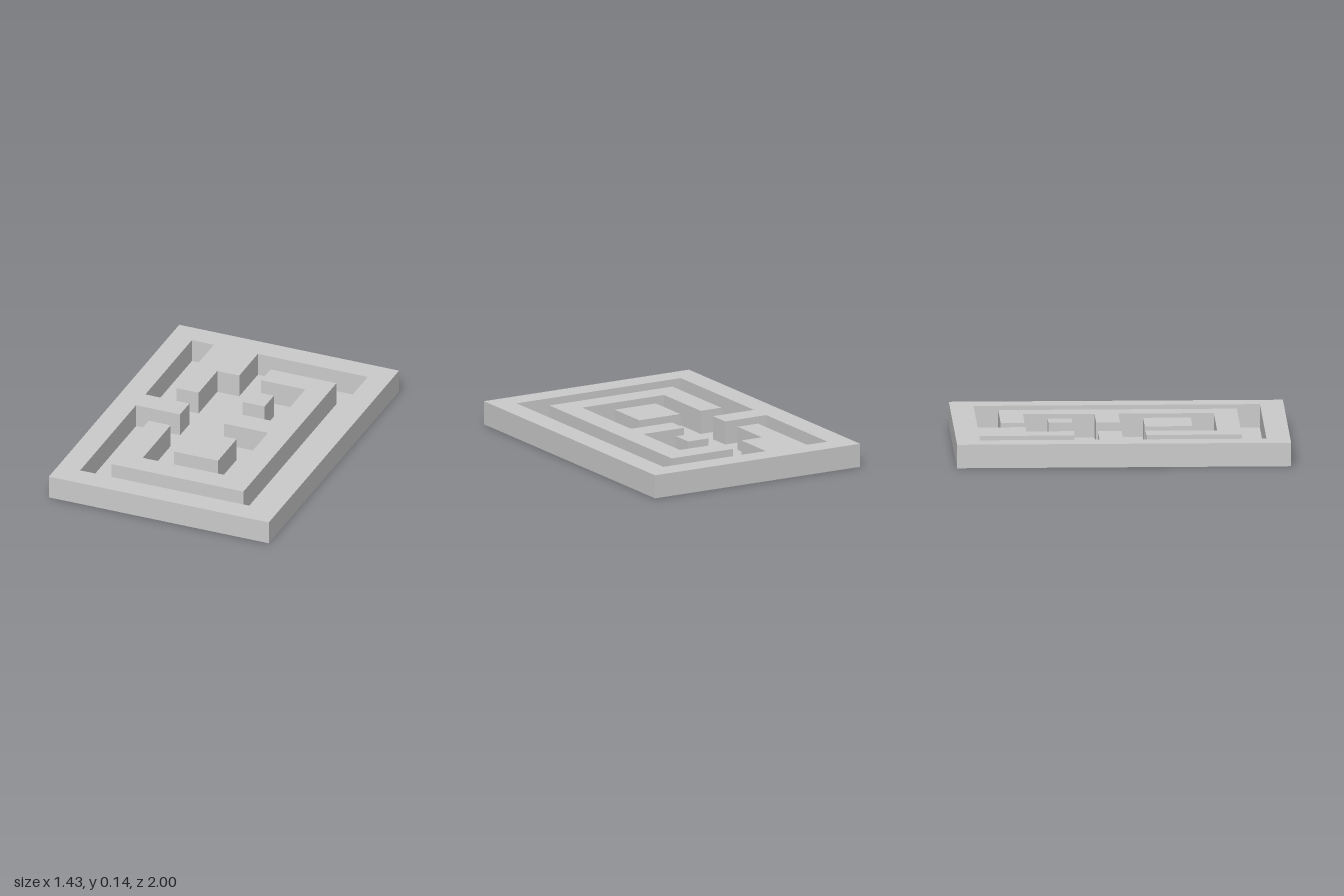
import * as THREE from 'three';
import { mergeGeometries } from 'three/addons/utils/BufferGeometryUtils.js';

const CELL = 1 / 7; // grid cell, also the wall height

// Outlines in grid cells as [x, z]
const rect = (x0, z0, x1, z1) => [[x0, z0], [x1, z0], [x1, z1], [x0, z1]];
const OUTER = rect(-5, -7, 5, 7);
const CORRIDOR = [
  [-4, -6], [-3, -6], [-3, -2], [-2, -2], [-2, -4], [-1, -4], [-1, -6], [4, -6],
  [4, 6], [-4, 6], [-4, 0], [-2, 0], [-2, -1], [-4, -1],
];
const ISLANDS = {
  innerWall: [
    [0, -5], [3, -5], [3, 5], [-3, 5], [-3, 1], [-2, 1], [-2, 4], [2, 4],
    [2, 0], [0, 0], [0, -1], [2, -1], [2, -4], [0, -4],
  ],
  smallBlock: rect(0, -3, 1, -2),
  largeBlock: rect(-1, 1, 1, 3),
};

// Plan points with y = -z, wound anticlockwise
function toPlan(outline) {
  const pts = outline.map(([x, z]) => new THREE.Vector2(x * CELL, -z * CELL));
  return THREE.ShapeUtils.isClockWise(pts) ? pts.reverse() : pts;
}

// Flat horizontal sheet with holes, facing up
function sheet(outline, holes, y) {
  const shape = new THREE.Shape(toPlan(outline));
  shape.holes = holes.map((h) => new THREE.Path(toPlan(h).reverse()));
  return new THREE.ShapeGeometry(shape).rotateX(-Math.PI / 2).translate(0, y, 0);
}

// Upright faces along a closed outline; inward ones line a pit
function sides(outline, inward = false) {
  const pts = toPlan(outline);
  if (inward) pts.reverse();
  return pts.map((a, i) => {
    const b = pts[(i + 1) % pts.length];
    return new THREE.PlaneGeometry(a.distanceTo(b), CELL)
      .rotateY(Math.atan2(b.y - a.y, b.x - a.x))
      .translate((a.x + b.x) / 2, CELL / 2, -(a.y + b.y) / 2);
  });
}

export function createModel() {
  const group = new THREE.Group();
  const material = new THREE.MeshStandardMaterial({
    color: 0xcccccc, flatShading: true, side: THREE.DoubleSide,
  });
  const add = (name, parts) => {
    const mesh = new THREE.Mesh(mergeGeometries(parts), material);
    mesh.name = name;
    group.add(mesh);
  };

  // Corridor floor, leaving the hollow walls open underneath
  add('corridorFloor', [sheet(CORRIDOR, Object.values(ISLANDS), 0)]);

  // Outer wall with its inward spurs
  add('outerWall', [
    sheet(OUTER, [CORRIDOR], CELL), ...sides(OUTER), ...sides(CORRIDOR, true),
  ]);

  // Free-standing walls and blocks
  for (const [name, outline] of Object.entries(ISLANDS)) {
    add(name, [sheet(outline, [], CELL), ...sides(outline)]);
  }
  return group;
}
